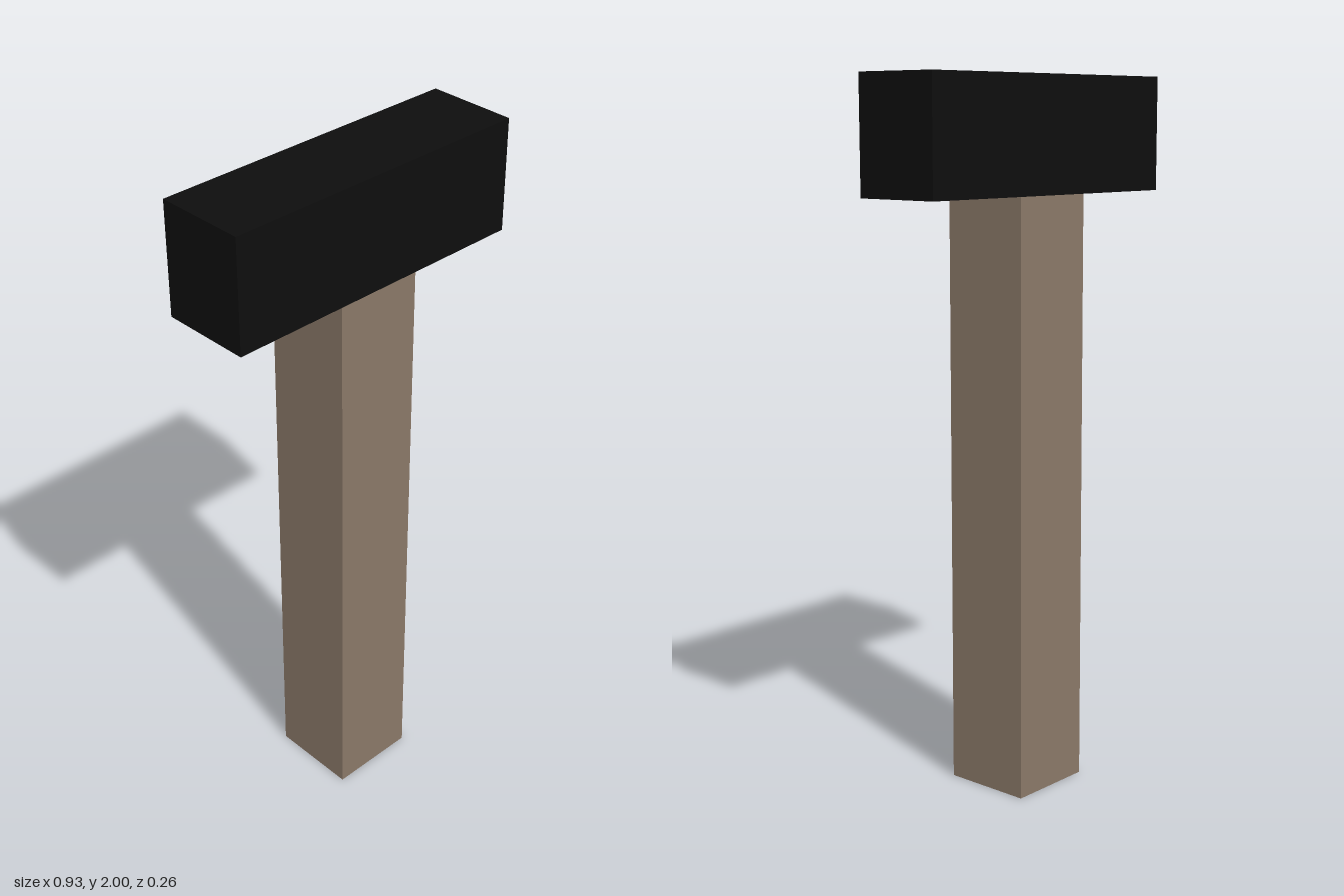
import * as THREE from 'three';

const handleMaterial = new THREE.MeshStandardMaterial({ color: 0x8a7868 });
handleMaterial.name = 'weathered wood';
const headMaterial = new THREE.MeshStandardMaterial({ color: 0x0e0e0e });
headMaterial.name = 'black iron';

// Box standing on height y0
function block(name, width, height, depth, y0, material) {
  const mesh = new THREE.Mesh(new THREE.BoxGeometry(width, height, depth), material);
  mesh.name = name;
  mesh.position.y = y0 + height / 2;
  return mesh;
}

export function createModel() {
  const hammer = new THREE.Group();
  hammer.name = 'hammer';
  const thickness = 0.26;
  const handleHeight = 1.68;

  // Square shaft with a wide head of the same depth on top
  hammer.add(block('handle', thickness, handleHeight, thickness, 0, handleMaterial));
  hammer.add(block('head', 0.925, 2 - handleHeight, thickness, handleHeight, headMaterial));
  return hammer;
}
